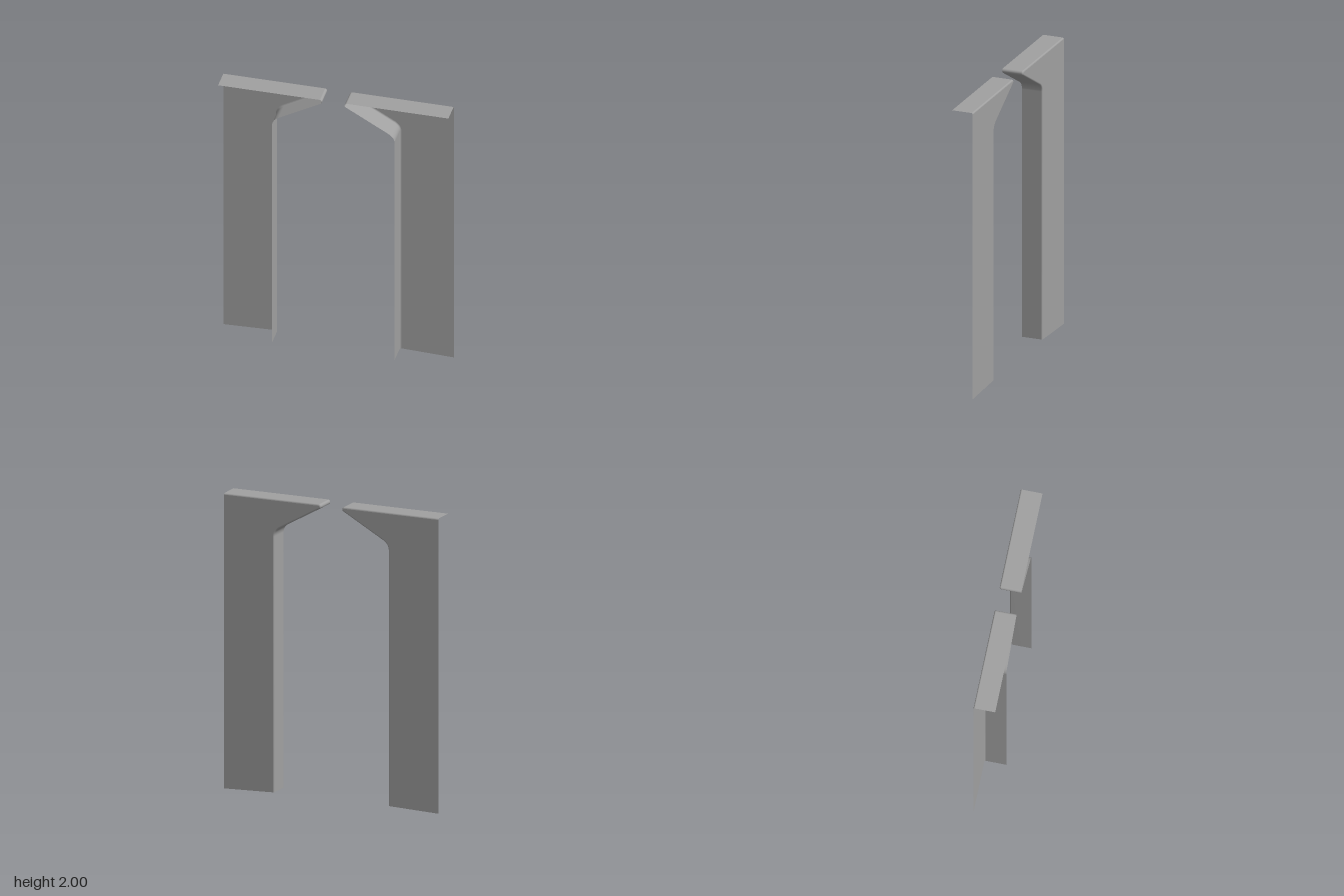
import * as THREE from 'three';

const HALF_DEPTH = 0.073; // half the width of the folded lip
const FOLD = 0.01;        // radius of the fold between lip and panel
const OUTER = 0.78;       // open outer edge

const material = new THREE.MeshStandardMaterial({ color: 0xa0a0a0, side: THREE.DoubleSide });

// Edge outline: along the top, round the tip, down the brace and the post
function outline() {
  const path = new THREE.Path();
  path.moveTo(OUTER, 2);
  path.lineTo(0.093, 2);
  path.absarc(0.093, 1.984, 0.016, Math.PI / 2, Math.PI * 4 / 3, false);
  path.lineTo(0.37, 1.81);
  path.quadraticCurveTo(0.415, 1.784, 0.415, 1.745);
  path.lineTo(0.415, 0.012);
  // drop repeated points where two pieces meet
  return path.getPoints(12).filter((p, i, all) => i === 0 || p.distanceTo(all[i - 1]) > 1e-5);
}

// Outline moved towards the panel by a distance
function inset(points, distance) {
  return points.map((p, i) => {
    const a = points[Math.max(i - 1, 0)], b = points[Math.min(i + 1, points.length - 1)];
    const before = p.clone().sub(a).normalize(), after = b.clone().sub(p).normalize();
    const t = before.add(after).normalize();
    return new THREE.Vector2(p.x - t.y * distance, p.y + t.x * distance);
  });
}

// Lip swept along the outline, with a rounded fold at the back
function lipGeometry(points) {
  const section = [[0, HALF_DEPTH]];
  const steps = 4;
  for (let i = 0; i <= steps; i++) {
    const a = (i / steps) * Math.PI / 2;
    section.push([FOLD * (1 - Math.cos(a)), -HALF_DEPTH + FOLD * (1 - Math.sin(a))]);
  }
  const positions = [], index = [], n = points.length;
  for (const [distance, z] of section) {
    for (const p of inset(points, distance)) positions.push(p.x, p.y, z);
  }
  for (let j = 0; j < section.length - 1; j++) {
    for (let i = 0; i < n - 1; i++) {
      const a = j * n + i, b = a + 1, c = a + n, d = c + 1;
      index.push(a, c, b, b, c, d);
    }
  }
  const geometry = new THREE.BufferGeometry();
  geometry.setAttribute('position', new THREE.Float32BufferAttribute(positions, 3));
  geometry.setIndex(index);
  geometry.computeVertexNormals();
  return geometry;
}

// Flat back panel inside the fold; its lower edge slopes slightly outwards
function panelGeometry(points) {
  const shape = new THREE.Shape([...inset(points, FOLD), new THREE.Vector2(OUTER, 0)]);
  return new THREE.ShapeGeometry(shape).translate(0, 0, -HALF_DEPTH);
}

export function createModel() {
  const model = new THREE.Group();
  model.name = 'bracketPair';
  const points = outline();
  const lip = lipGeometry(points), panel = panelGeometry(points);

  // Left bracket and its mirror image
  for (const [side, sign] of [['left', 1], ['right', -1]]) {
    const bracket = new THREE.Group();
    bracket.name = side + 'Bracket';
    bracket.scale.x = sign;
    for (const [name, geometry] of [['Lip', lip], ['Panel', panel]]) {
      const mesh = new THREE.Mesh(geometry, material);
      mesh.name = side + name;
      bracket.add(mesh);
    }
    model.add(bracket);
  }
  return model;
}
